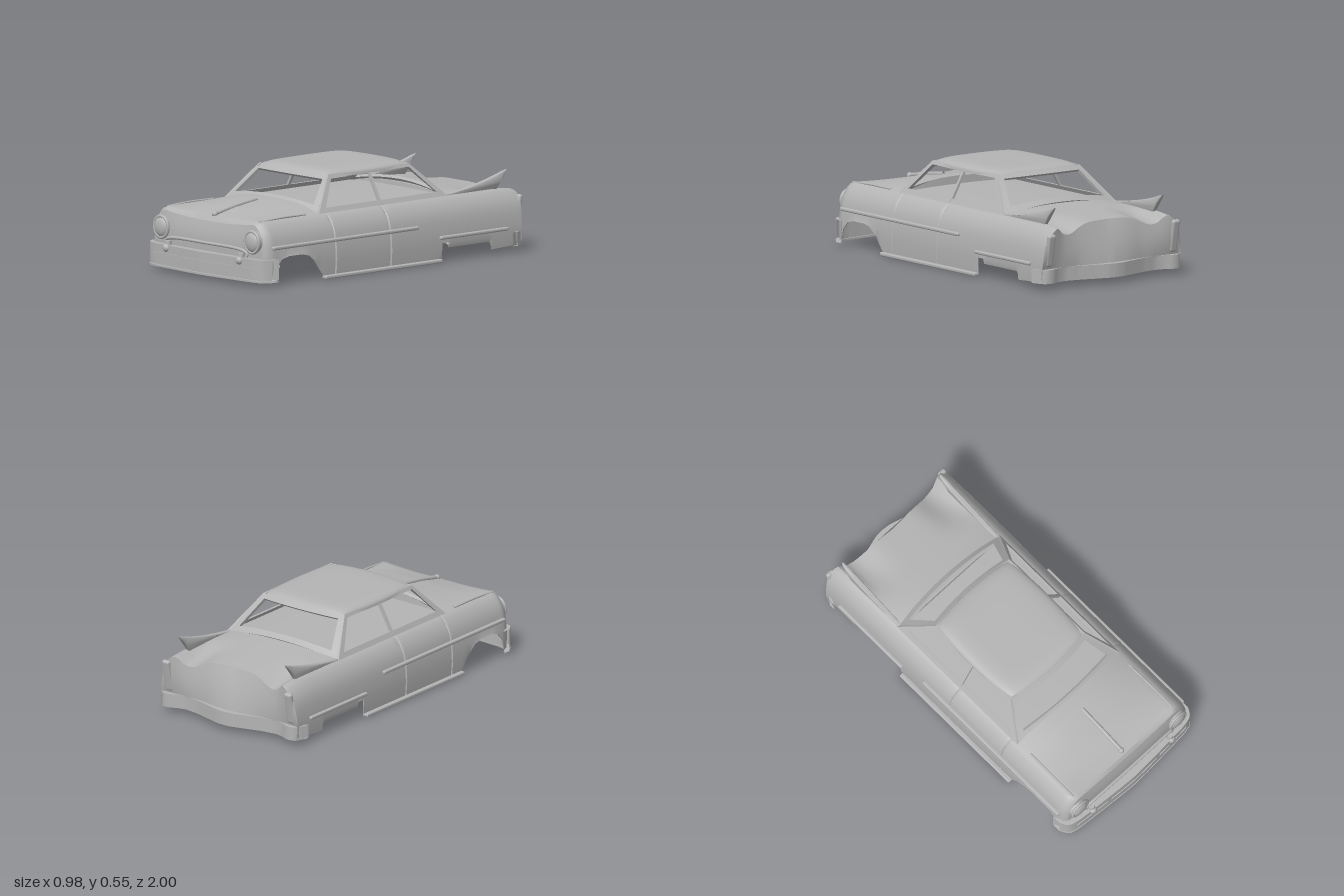
import * as THREE from 'three';
import { toCreasedNormals } from 'three/addons/utils/BufferGeometryUtils.js';
import { RoundedBoxGeometry } from 'three/addons/geometries/RoundedBoxGeometry.js';

const bodyGrey = new THREE.MeshStandardMaterial({ color: 0xb4b4b4, side: THREE.DoubleSide });
bodyGrey.name = 'bodyGrey';

// Linear lookup in a table of [key, value] with rising keys
function look(table, k) {
  if (k <= table[0][0]) return table[0][1];
  for (let i = 1; i < table.length; i++) {
    const [a, va] = table[i - 1], [b, vb] = table[i];
    if (k <= b) return va + (vb - va) * (k - a) / (b - a);
  }
  return table[table.length - 1][1];
}
const { lerp, smoothstep } = THREE.MathUtils;

// Surface through rows of points
function loft(rows, closed = false) {
  const n = rows[0].length, index = [];
  const m = closed ? rows.length : rows.length - 1;
  for (let i = 0; i < m; i++) for (let j = 0; j < n - 1; j++) {
    const a = i * n + j, b = ((i + 1) % rows.length) * n + j;
    index.push(a, b, a + 1, a + 1, b, b + 1);
  }
  const g = new THREE.BufferGeometry();
  g.setAttribute('position', new THREE.Float32BufferAttribute(rows.flat(2), 3));
  g.setIndex(index);
  g.computeVertexNormals();
  return g;
}

// Lower edge with wheel openings, by z
const lowerEdge = [[-0.9, 0.04], [-0.721, 0.03], [-0.72, 0.06], [-0.705, 0.076], [-0.411, 0.076], [-0.41, 0.105],
  [-0.361, 0.105], [-0.36, 0.02], [0.51, 0.02], [0.54, 0.055], [0.58, 0.11], [0.62, 0.142], [0.67, 0.155],
  [0.77, 0.155], [0.82, 0.142], [0.86, 0.1], [0.885, 0.03], [0.925, 0.03]];
// Height of the centre line: trunk, interior deck, hood
const crown = [[-0.9, 0.343], [-0.7, 0.36], [-0.47, 0.38], [-0.452, 0.38], [-0.45, 0.358], [0.45, 0.358],
  [0.452, 0.402], [0.55, 0.395], [0.75, 0.368], [0.88, 0.34], [0.91, 0.332], [0.925, 0.31]];
const flank = [[0.466, 0], [0.472, 0.1], [0.469, 0.16], [0.463, 0.21], [0.455, 0.25], [0.443, 0.28],
  [0.428, 0.305], [0.41, 0.327], [0.392, 0.341], [0.372, 0.348]];
// Narrowing at the nose and rounding-off of height at both ends
const endWidth = [[0.88, 1], [0.91, 0.985], [0.925, 0.95]];
const endHeight = [[-0.9, 0.955], [-0.87, 0.98], [-0.8, 1], [0.88, 1], [0.91, 0.985], [0.925, 0.95]];
const tailEdge = [[0, -0.9], [0.2, -0.915], [0.33, -0.935], [0.4, -0.962], [0.44, -0.962], [0.472, -0.945]];
const tailFoot = [[0, -0.975], [0.1, -0.96], [0.22, -0.93], [0.33, -0.92], [0.472, -0.91]];
const doorSeams = [0.42, 0.015];

function bodySection(z) {
  const y0 = look(lowerEdge, z), yc = look(crown, z);
  const seam = doorSeams.some(s => Math.abs(z - s) < 0.001) ? 0.985 : 1;
  const kx = look(endWidth, z) * seam, ky = look(endHeight, z);
  const tail = smoothstep(-z, 0.78, 0.9), valley = 0.05 * smoothstep(-z, 0.6, 0.9);
  const half = flank.map(([x, y]) => [x * kx, Math.max(y0, y * ky)]);
  const [sx, sy] = half[half.length - 1];
  for (let i = 1; i <= 16; i++) {
    const t = i / 16, x = sx * (1 - t);
    const dip = valley * Math.exp(-(((x - 0.28) / 0.09) ** 2)) * Math.min(1, t * 8);
    half.push([x, lerp(sy, yc, 1 - (1 - t) ** 2.4) - dip]);
  }
  const pts = half.map(([x, y]) => [x, y, z + tail * (look(tailEdge, x) + 0.9)]);
  return [...pts, ...pts.slice(0, -1).reverse().map(([x, y, zz]) => [-x, y, zz])];
}

function bodyStations() {
  const set = [...lowerEdge, ...crown].map(e => e[0]);
  doorSeams.forEach(s => set.push(s - 0.006, s, s + 0.006));
  for (let z = -0.88; z < 0.9; z += 0.04) set.push(z);
  return [...new Set(set.map(z => +z.toFixed(4)))].sort((a, b) => a - b);
}

// Panel that drops from an end section to its foot
function endPanel(section, foot, zAt) {
  const rows = [];
  for (let i = 0; i <= 10; i++) rows.push(section.map(([x, y, z]) =>
    [x, lerp(y, foot, i / 10), zAt(Math.abs(x), i / 10, z)]));
  return loft(rows);
}

// Curved bar that follows a plan curve in x
function band(plan, x0, x1, y0, y1, out, depth) {
  const rows = [[], [], [], []], n = 48;
  for (let i = 0; i <= n; i++) {
    const x = lerp(x0, x1, i / n), z = look(plan, Math.abs(x));
    const s = Math.sign(z), zo = z + s * out, zi = zo - s * depth;
    rows[0].push([x, y0, zo]); rows[1].push([x, y1, zo]);
    rows[2].push([x, y1, zi]); rows[3].push([x, y0, zi]);
  }
  return toCreasedNormals(loft(rows, true), 0.6);
}
const frontPlan = [[0, 0.994], [0.1, 0.99], [0.3, 0.976], [0.4, 0.968], [0.45, 0.955], [0.475, 0.93], [0.485, 0.905]];
const rearPlan = [[0, -0.997], [0.05, -0.993], [0.12, -0.973], [0.22, -0.945], [0.31, -0.932], [0.36, -0.942],
  [0.41, -0.965], [0.45, -0.962], [0.475, -0.94], [0.485, -0.9]];

// Window surround: a bulged four-cornered patch with an opening
function windowPatch(c, bulge) {
  return (u, v) => {
    const b = 1 - (2 * u - 1) ** 2;
    return [0, 1, 2].map(k => lerp(lerp(c[0][k], c[1][k], u), lerp(c[3][k], c[2][k], u), v)
      + b * (k === 2 ? bulge : k === 1 && bulge ? 0.04 * (1 - v) : 0));
  };
}
function windowFrame(patch, iu, v0, v1, inward) {
  const ring = (a, b, c, d) => {
    const p = [], n = 12, q = [[a, b], [1 - a, b], [1 - a, c], [a, c], [a, b]];
    for (let s = 0; s < 4; s++) for (let i = 0; i <= n; i++) {
      const pt = patch(lerp(q[s][0], q[s + 1][0], i / n), lerp(q[s][1], q[s + 1][1], i / n));
      p.push(pt.map((val, k) => val + (d ? inward[k] : 0)));
    }
    return p;
  };
  return toCreasedNormals(loft([ring(0, 0, 1, 0), ring(iu, v0, v1, 0), ring(iu, v0, v1, 1), ring(0, 0, 1, 1)], true), 0.6);
}

// Domed roof skin and its flat lining
function roofRows() {
  const rows = [], n = 28;
  for (let i = 0; i <= n; i++) {
    const v = Math.sin((i / n - 0.5) * Math.PI), row = [];
    for (let j = 0; j <= n; j++) {
      const u = Math.sin((j / n - 0.5) * Math.PI);
      const w = 0.293 - 0.016 * v * v, zEnd = (v > 0 ? 0.308 : 0.287) + 0.028 * (1 - u * u);
      row.push([u * w, 0.512 + 0.042 * Math.pow((1 - u ** 6) * (1 - v ** 8) + 1e-9, 0.36), v * zEnd]);
    }
    rows.push(row);
  }
  return [rows, rows.map(r => r.map(([x, , z]) => [x, 0.512, z]))];
}

// Fin blade swept up to the rear, thinned towards its top and foot
function finGeometry() {
  const fin = new THREE.Shape();
  fin.moveTo(0.47, 0.345);
  fin.quadraticCurveTo(0.75, 0.375, 0.915, 0.437);
  fin.quadraticCurveTo(0.865, 0.385, 0.835, 0.335);
  fin.lineTo(0.47, 0.335);
  const geo = new THREE.ExtrudeGeometry(fin, { depth: 0.006, bevelSize: 0.006, bevelThickness: 0.009, bevelSegments: 3, curveSegments: 14 });
  geo.translate(0, 0, -0.003).rotateY(Math.PI / 2);
  const p = geo.attributes.position;
  for (let i = 0; i < p.count; i++) {
    const h = (p.getY(i) - 0.38) / 0.066;
    p.setX(i, p.getX(i) * 1.2 * Math.sqrt(Math.max(0.02, 1 - h * h)));
  }
  return toCreasedNormals(geo, 0.7);
}

export function createModel() {
  const car = new THREE.Group();
  car.name = 'carBody';
  const add = (name, geo, x = 0, y = 0, z = 0) => {
    const m = new THREE.Mesh(geo, bodyGrey);
    m.name = name;
    m.position.set(x, y, z);
    car.add(m);
    return m;
  };
  const tube = (pts, r) => new THREE.TubeGeometry(new THREE.CatmullRomCurve3(pts.map(p => new THREE.Vector3(...p))), 32, r, 10);

  // Lower shell with nose and tail panels
  const sections = bodyStations().map(bodySection);
  add('lowerShell', toCreasedNormals(loft(sections), 0.7));
  add('nosePanel', endPanel(sections[sections.length - 1], 0.03, (x, t, z) => z + 0.02 * Math.sin(Math.min(1, t * 2.5) * Math.PI / 2) * (1 - (x / 0.46) ** 4)));
  add('tailPanel', endPanel(sections[0], 0.04, (x, t, z) => lerp(z, look(tailFoot, x), t) - 0.012 * Math.sin(t * Math.PI)));

  // Roof and window surrounds
  const [skin, lining] = roofRows();
  add('roof', loft(skin));
  add('roofLining', loft(lining));
  const windshield = windowPatch([[-0.372, 0.348, 0.47], [0.372, 0.348, 0.47], [0.278, 0.533, 0.3], [-0.278, 0.533, 0.3]], 0.03);
  add('windshieldFrame', windowFrame(windshield, 0.055, 0.17, 0.86, [0, -0.012, -0.014]));
  const backlight = windowPatch([[0.372, 0.345, -0.475], [-0.372, 0.345, -0.475], [-0.275, 0.533, -0.285], [0.275, 0.533, -0.285]], -0.025);
  add('rearWindowFrame', windowFrame(backlight, 0.055, 0.15, 0.88, [0, -0.012, 0.014]));

  // Bumpers
  add('frontBumper', band(frontPlan, -0.485, 0.485, 0.035, 0.148, 0, 0.05));
  add('frontBumperLip', band(frontPlan, -0.485, 0.485, 0.022, 0.032, 0.003, 0.05));
  [[-0.17, 0.17], [0.195, 0.27], [-0.27, -0.195], [0.31, 0.41], [-0.41, -0.31]].forEach(([a, b]) =>
    add('bumperSlat', band(frontPlan, a, b, 0.088, 0.102, 0.005, 0.009)));
  add('rearBumper', band(rearPlan, -0.485, 0.485, 0.035, 0.112, 0, 0.035));

  // Grille lip and hood spear
  add('grilleLip', tube([[-0.322, 0.152, 0.945], [-0.33, 0.17, 0.945], [-0.29, 0.186, 0.948], [0, 0.193, 0.952],
    [0.29, 0.186, 0.948], [0.33, 0.17, 0.945], [0.322, 0.152, 0.945]], 0.009));
  add('hoodSpear', tube([[0, 0.394, 0.58], [0, 0.375, 0.73], [0, 0.345, 0.89]], 0.012));
  add('hoodSpearTip', new THREE.SphereGeometry(0.017, 16, 12), 0, 0.345, 0.885);

  // Open axle tubes
  for (const z of [0.73, -0.52]) add('axleTube',
    new THREE.CylinderGeometry(0.014, 0.014, 0.68, 16, 1, true).rotateZ(Math.PI / 2), 0, 0.08, z);

  for (const s of [1, -1]) {
    // Side window surround and centre pillar
    const side = windowPatch([[s * 0.386, 0.345, 0.47], [s * 0.386, 0.345, -0.475], [s * 0.28, 0.533, -0.285], [s * 0.28, 0.533, 0.305]], 0);
    add('sideWindowFrame', windowFrame(side, 0.045, 0.14, 0.9, [-s * 0.016, 0, 0]));
    const pillar = add('centrePillar', new THREE.BoxGeometry(0.014, 0.2, 0.016), s * 0.328, 0.438, 0.012);
    pillar.rotation.z = s * Math.atan2(0.106, 0.188);

    // Headlights
    add('headlightPod', new THREE.CylinderGeometry(0.06, 0.062, 0.03, 32, 1, true).rotateX(Math.PI / 2), s * 0.368, 0.238, 0.932);
    add('headlightRim', new THREE.TorusGeometry(0.055, 0.009, 10, 36).scale(1, 1.06, 1), s * 0.368, 0.238, 0.946);
    add('headlightLens', new THREE.SphereGeometry(0.052, 28, 16, 0, Math.PI).scale(1, 1.06, 0.45), s * 0.368, 0.238, 0.944);

    // Bumper guards and their mounting rings
    add('bumperGuard', new THREE.SphereGeometry(0.023, 16, 12).scale(1, 1, 0.9), s * 0.295, 0.132, 0.972);
    add('bumperGuardStem', new THREE.CylinderGeometry(0.017, 0.02, 0.045, 16), s * 0.295, 0.15, 0.96);
    add('guardRing', new THREE.TorusGeometry(0.018, 0.005, 8, 20), s * 0.295, 0.125, 0.936);

    // Tail lamps
    const lamp = add('tailLamp', new RoundedBoxGeometry(0.05, 0.185, 0.03, 4, 0.014), s * 0.422, 0.215, -0.948);
    lamp.rotation.x = -0.2;

    add('tailFin', finGeometry(), s * 0.368, 0, 0);

    // Bright strips, fender spears and sill boards
    add('sideTrim', new RoundedBoxGeometry(0.024, 0.02, 1.07, 3, 0.008), s * 0.467, 0.208, 0.35);
    add('rearTrim', new RoundedBoxGeometry(0.024, 0.02, 0.5, 3, 0.008), s * 0.473, 0.135, -0.59);
    add('fenderSpear', tube([[s * 0.372, 0.35, 0.56], [s * 0.374, 0.351, 0.75], [s * 0.374, 0.343, 0.9]], 0.006));
    add('sillBoard', new RoundedBoxGeometry(0.036, 0.02, 0.86, 3, 0.007), s * 0.471, 0.01, 0.08);
  }
  return car;
}
